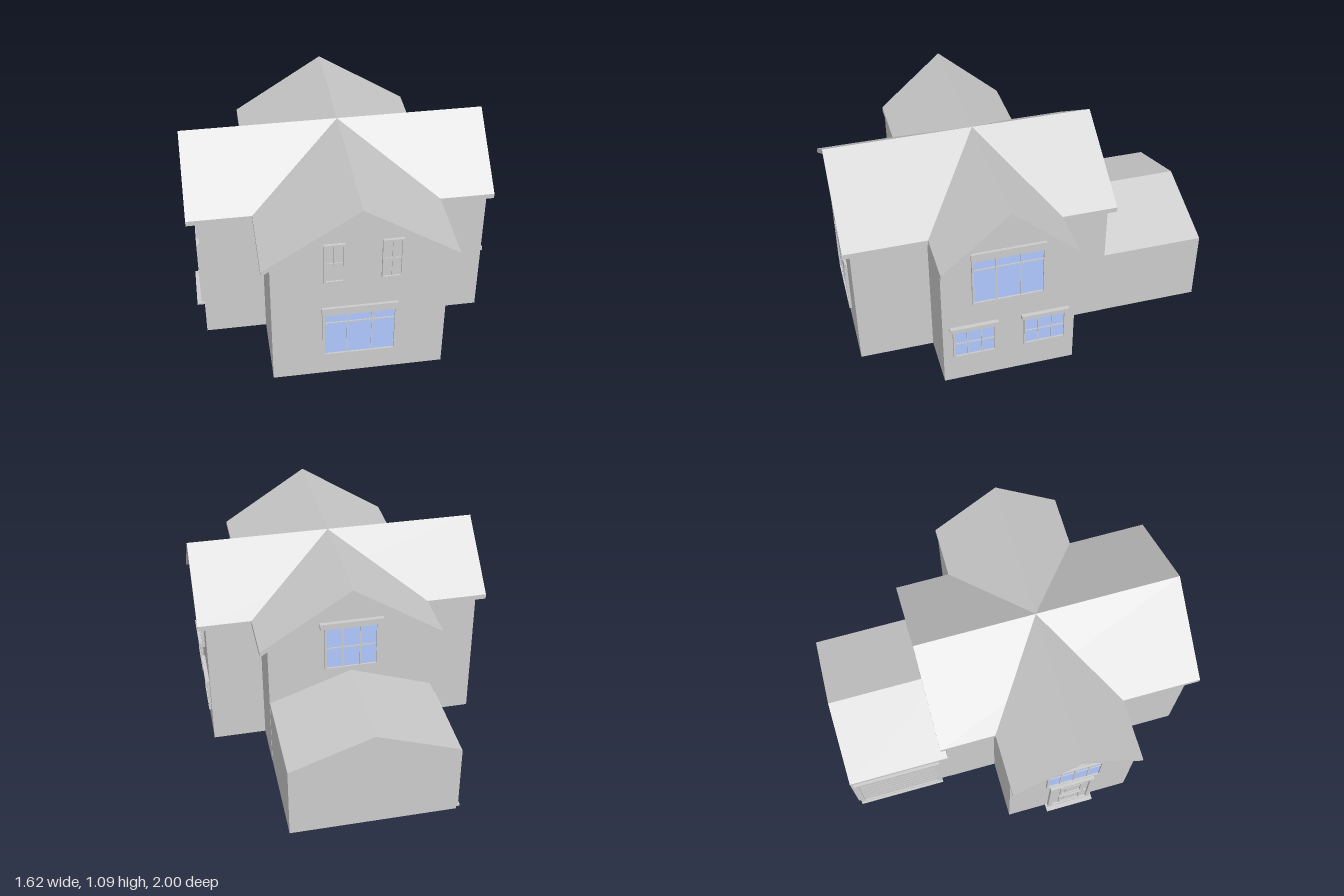
import * as THREE from 'three';

const grey = new THREE.MeshStandardMaterial({ color: 0xcccccc, flatShading: true });
const blue = new THREE.MeshStandardMaterial({ color: 0xb0c8ff, flatShading: true });
const CX = 0.0225, CZ = 0.2; // the two ridges cross here

function box(parent, name, w, h, d, x, y, z, mat = grey) {
  const m = new THREE.Mesh(new THREE.BoxGeometry(w, h, d), mat);
  m.name = name;
  m.position.set(x, y, z);
  parent.add(m);
  return m;
}

// Extrude a cross-section from a to b, along z or (alongX) along x
function prism(parent, name, points, a, b, alongX = false) {
  const shape = new THREE.Shape(points.map(([x, y]) => new THREE.Vector2(x, y)));
  const geo = new THREE.ExtrudeGeometry(shape, { depth: b - a, bevelEnabled: false });
  geo.translate(0, 0, a);
  if (alongX) geo.rotateY(Math.PI / 2).translate(0, 0, CZ);
  else geo.translate(CX, 0, 0);
  const m = new THREE.Mesh(geo, grey);
  m.name = name;
  parent.add(m);
}

const gable = (half, eave, ridge) => [[-half, 0], [half, 0], [half, eave], [0, ridge], [-half, eave]];

// Sloped slabs on both sides of a ridge, with upright fascia edges
const chevron = (half, eave, ridge, t) => [
  [-half, eave - t], [0, ridge - t], [half, eave - t], [half, eave], [0, ridge], [-half, eave],
];

// A group on a wall: local x runs along the wall, local z points outward
function wallGroup(parent, name, x, y, z, angle) {
  const g = new THREE.Group();
  g.name = name;
  g.position.set(x, y, z);
  g.rotation.y = angle;
  parent.add(g);
  return g;
}

// Four bars around a w x h opening centred on (0, y)
function frame(g, name, w, h, t, d, y = 0) {
  for (const s of [-1, 1]) {
    box(g, name, t, h, d, s * (w - t) / 2, y, d / 2);
    box(g, name, w - 2 * t, t, d, 0, y + s * (h - t) / 2, d / 2);
  }
}

// Pane, frame, glazing bars (cols; rows at given heights 0..1) and optional header board
function windowUnit(parent, name, pos, angle, w, h, o = {}) {
  const { cols = 3, rows = [0.5], header = 0, headerOver = 0, headerDepth = 0.014, mat = blue } = o;
  const g = wallGroup(parent, name, ...pos, angle);
  box(g, 'pane', w - 0.01, h - 0.01, 0.006, 0, 0, 0.002, mat);
  frame(g, 'windowFrame', w, h, 0.01, 0.014);
  for (let i = 1; i < cols; i++) {
    box(g, 'glazingBar', 0.007, h - 0.02, 0.006, -w / 2 + (w * i) / cols, 0, 0.007);
  }
  for (const r of rows) box(g, 'glazingBar', w - 0.02, 0.007, 0.006, 0, (r - 0.5) * h, 0.007);
  if (header) {
    box(g, 'headerBoard', w + 2 * headerOver, header, headerDepth, 0, (h + header) / 2, headerDepth / 2);
  }
  return g;
}

export function createModel() {
  const house = new THREE.Group();
  house.name = 'house';

  // Walls
  prism(house, 'mainWalls', gable(0.4475, 0.774, 1.066), -0.43, 0.96);
  prism(house, 'wingWalls', gable(0.3575, 0.75, 1.066), -0.75, 0.765, true);
  prism(house, 'garage', gable(0.446, 0.41, 0.568), -1, -0.3);

  // Crossing roofs
  prism(house, 'mainRoof', chevron(0.4925, 0.773, 1.09, 0.028), -0.465, 1);
  prism(house, 'wingRoof', chevron(0.36, 0.773, 1.09, 0.028), -0.81, 0.806, true);

  // Front windows
  windowUnit(house, 'frontWindow', [0.025, 0.282, 0.96], 0, 0.38, 0.29,
    { cols: 3, rows: [0.77], header: 0.036, headerOver: 0.006 });
  for (const x of [-0.108, 0.182]) {
    windowUnit(house, 'frontUpperWindow', [x, 0.755, 0.96], 0, 0.105, 0.24, { cols: 2, mat: grey });
  }

  // Right side windows
  const right = Math.PI / 2;
  windowUnit(house, 'rightUpperWindow', [0.765, 0.667, 0.205], right, 0.384, 0.292,
    { cols: 3, rows: [0.76], header: 0.036, headerOver: 0.004 });
  for (const z of [0.39, 0.007]) {
    windowUnit(house, 'rightLowerWindow', [0.765, 0.262, z], right, 0.23, 0.186,
      { header: 0.022, headerOver: 0.014, headerDepth: 0.022 });
  }

  // Back window
  windowUnit(house, 'backWindow', [CX, 0.728, -0.43], Math.PI, 0.29, 0.265,
    { header: 0.03, headerOver: 0.025, headerDepth: 0.022 });

  // Left side windows
  const left = -Math.PI / 2;
  windowUnit(house, 'leftWindow', [-0.75, 0.62, 0.205], left, 0.31, 0.25, { cols: 4, rows: [0.7] });
  windowUnit(house, 'leftGableWindow', [-0.75, 0.865, 0.205], left, 0.24, 0.11, { cols: 3, rows: [] });

  // Entrance door with two raised panels, handle and step
  const door = wallGroup(house, 'door', -0.75, 0, 0.205, left);
  box(door, 'doorLeaf', 0.21, 0.4, 0.012, 0, 0.205, 0.002);
  frame(door, 'doorFrame', 0.255, 0.43, 0.024, 0.02, 0.218);
  for (const [y, h] of [[0.3, 0.15], [0.11, 0.14]]) {
    frame(door, 'panelMoulding', 0.13, h, 0.012, 0.016, y);
    box(door, 'doorPanel', 0.07, h - 0.06, 0.014, 0, y, 0.006);
  }
  box(door, 'doorHandle', 0.012, 0.012, 0.024, 0.085, 0.2, 0.012);
  box(door, 'doorStep', 0.28, 0.01, 0.044, 0, 0.005, 0.022);

  // Garage door with horizontal slats
  const gate = wallGroup(house, 'garageDoor', CX - 0.446, 0, -0.735, left);
  frame(gate, 'garageDoorFrame', 0.5, 0.385, 0.025, 0.016, 0.1925);
  for (let i = 0; i < 7; i++) {
    box(gate, 'garageSlat', 0.45, 0.04, 0.012, 0, 0.05 + i * 0.0475, 0.004);
  }
  box(gate, 'garageThreshold', 0.5, 0.01, 0.026, 0, 0.005, 0.013);

  return house;
}
